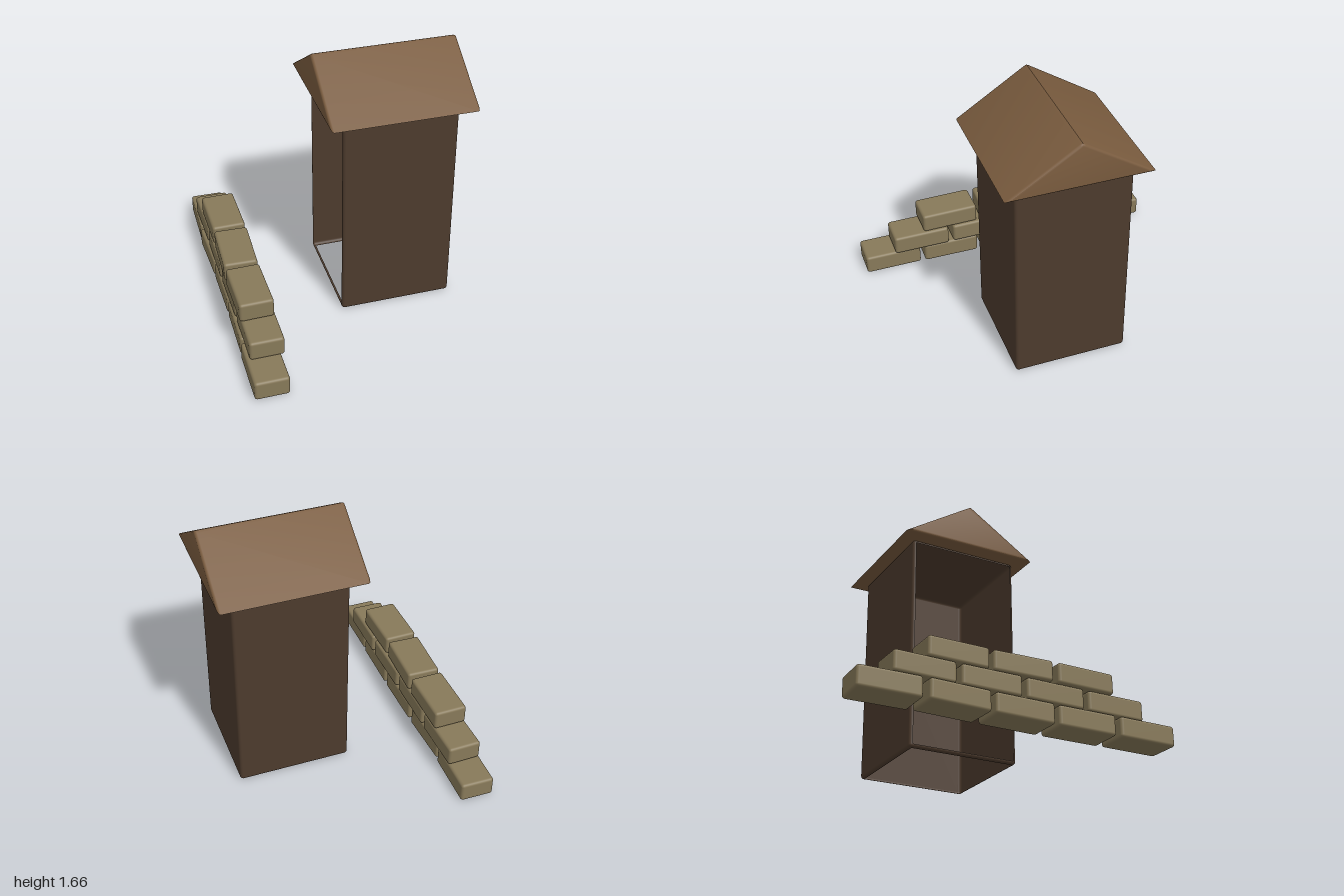
import * as THREE from 'three';
import { RoundedBoxGeometry } from 'three/addons/geometries/RoundedBoxGeometry.js';
import { toCreasedNormals } from 'three/addons/utils/BufferGeometryUtils.js';

const mat = (name, color, side = THREE.FrontSide) => {
  const m = new THREE.MeshStandardMaterial({ color, side });
  m.name = name;
  return m;
};

// Rounded box without its flat -x and bottom panels
function openBox(w, h, d, r) {
  const source = new RoundedBoxGeometry(w, h, d, 3, r);
  const pos = source.attributes.position, nor = source.attributes.normal;
  const p = [], n = [];
  for (let i = 0; i < pos.count; i += 3) {
    const tri = [i, i + 1, i + 2];
    const open = tri.every(j => pos.getX(j) < -w / 2 + 1e-4) || tri.every(j => pos.getY(j) < -h / 2 + 1e-4);
    if (open) continue;
    for (const j of tri) {
      p.push(pos.getX(j), pos.getY(j), pos.getZ(j));
      n.push(nor.getX(j), nor.getY(j), nor.getZ(j));
    }
  }
  const g = new THREE.BufferGeometry();
  g.setAttribute('position', new THREE.Float32BufferAttribute(p, 3));
  g.setAttribute('normal', new THREE.Float32BufferAttribute(n, 3));
  return g;
}

// Gabled prism along x; the triangle shrinks towards its incentre at both ends
function gableRoof(length, height, half, bevel) {
  const slope = Math.hypot(half, height);
  const inradius = half * height / (half + slope);
  const a = 0.016, drop = a * height / half;
  const profile = [[half, 0], [a, height - drop], [0, height - drop * 0.25], [-a, height - drop], [-half, 0]];
  const n = profile.length, rings = [], steps = 3;
  for (let i = 0; i <= steps; i++) {
    const t = (i / steps) * Math.PI / 2;
    rings.push([-length / 2 + bevel * (1 - Math.cos(t)), bevel * (1 - Math.sin(t))]);
  }
  for (let i = steps; i >= 0; i--) rings.push([-rings[i][0], rings[i][1]]);

  const p = [], index = [];
  for (const [x, inset] of rings) {
    const s = 1 - inset / inradius;
    for (const [z, y] of profile) p.push(x, inradius + (y - inradius) * s, z * s);
  }
  for (let r = 0; r < rings.length - 1; r++) {
    for (let i = 0; i < n; i++) {
      const j = (i + 1) % n, b = r * n, c = b + n;
      index.push(b + i, c + i, b + j, b + j, c + i, c + j);
    }
  }
  const last = (rings.length - 1) * n;
  for (let i = 1; i < n - 1; i++) {
    index.push(0, i, i + 1);
    index.push(last, last + i + 1, last + i);
  }
  const g = new THREE.BufferGeometry();
  g.setAttribute('position', new THREE.Float32BufferAttribute(p, 3));
  g.setIndex(index);
  return toCreasedNormals(g, 0.62);
}

export function createModel() {
  const model = new THREE.Group();
  model.name = 'boothAndWall';
  const darkWood = mat('darkWood', 0x4d3b2d, THREE.DoubleSide);
  const roofWood = mat('roofWood', 0x795b3e, THREE.DoubleSide);
  const stone = mat('stone', 0x877959);

  const add = (parent, name, geometry, material, x, y, z) => {
    const mesh = new THREE.Mesh(geometry, material);
    mesh.name = name;
    mesh.position.set(x, y, z);
    parent.add(mesh);
    return mesh;
  };

  // Booth: three thin walls, open towards the stone wall and below
  const booth = new THREE.Group();
  booth.name = 'booth';
  add(booth, 'boothWalls', openBox(0.715, 1.37, 0.714, 0.02), darkWood, 0.318, 0.688, 0);
  add(booth, 'boothRoof', gableRoof(0.908, 0.286, 0.445, 0.016), roofWood, 0.318, 1.374, 0);
  model.add(booth);

  // Stepped stone wall: each brick is [z, x, turn]
  const wall = new THREE.Group();
  wall.name = 'stoneWall';
  const rows = [
    [[-0.81, -0.651, -0.02], [-0.405, -0.655, 0.04], [0, -0.645, 0.01], [0.405, -0.645, -0.01], [0.81, -0.652, 0]],
    [[-0.61, -0.643, 0.02], [-0.203, -0.64, 0], [0.203, -0.635, 0.01], [0.61, -0.631, 0]],
    [[-0.405, -0.637, 0.01], [0, -0.64, -0.035], [0.405, -0.643, 0.015]],
  ];
  const brick = new RoundedBoxGeometry(0.213, 0.126, 0.374, 3, 0.018);
  rows.forEach((row, level) => row.forEach(([z, x, turn]) => {
    add(wall, 'brick', brick, stone, x, 0.064 + level * 0.1265, z).rotation.y = turn;
  }));
  model.add(wall);

  return model;
}
